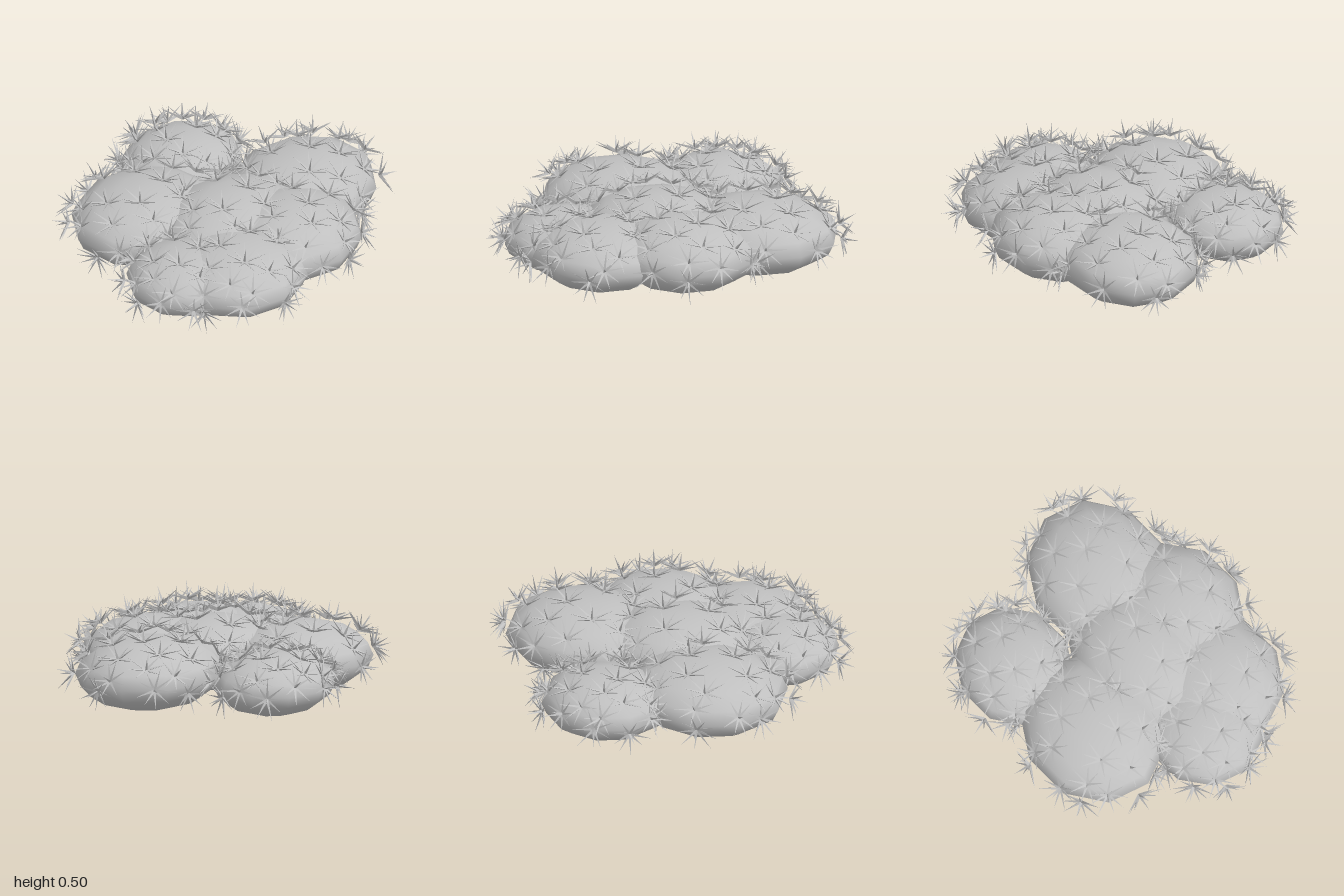
import * as THREE from 'three';
import { mergeGeometries } from 'three/addons/utils/BufferGeometryUtils.js';

const UP = new THREE.Vector3(0, 1, 0);

// Small seeded generator for natural variation
function makeRandom(seed) {
  let s = seed;
  return () => (s = (s * 16807) % 2147483647) / 2147483647;
}

// Pads: name, centre, radii
const PADS = [
  { name: 'backLeftPad', c: [-0.31, 0.2, -0.295], r: [0.44, 0.188, 0.39] },
  { name: 'backRightPad', c: [0.21, 0.19, -0.51], r: [0.355, 0.165, 0.318] },
  { name: 'rightPad', c: [0.46, 0.205, 0.14], r: [0.45, 0.19, 0.385] },
  { name: 'centrePad', c: [-0.07, 0.215, 0.11], r: [0.44, 0.193, 0.37] },
  { name: 'leftPad', c: [-0.58, 0.185, 0.24], r: [0.335, 0.155, 0.32] },
  { name: 'frontLeftPad', c: [-0.36, 0.19, 0.415], r: [0.395, 0.173, 0.382] },
  { name: 'frontRightPad', c: [0.085, 0.205, 0.405], r: [0.41, 0.19, 0.377] },
].map((p) => ({ name: p.name, c: new THREE.Vector3(...p.c), r: new THREE.Vector3(...p.r) }));

// One three-sided spine along +y, with a flat face that ends up on top when it leans
function spine(length) {
  const g = new THREE.ConeGeometry(0.0095, length, 3, 1, true, Math.PI / 2).toNonIndexed();
  g.computeVertexNormals();
  return g.translate(0, length / 2, 0);
}

// A star of leaning spines around one upright spine
function spineStar(random) {
  const parts = [spine(0.1)];
  const count = 9;
  for (let i = 0; i < count; i++) {
    const g = spine(0.105 + 0.03 * random());
    g.rotateZ(-(1.08 + 0.3 * random()));
    g.rotateY(((i + 0.35 * random()) / count) * Math.PI * 2);
    parts.push(g);
  }
  return mergeGeometries(parts);
}

const insidePad = (p, pad) => p.clone().sub(pad.c).divide(pad.r).lengthSq() < 0.93;

// Stars spread in a spiral over the upper half of a pad, left out where pads overlap
function padSpines(pad, random) {
  const stars = [];
  const count = 32;
  const spin = random() * 6.28;
  for (let i = 0; i < count; i++) {
    const y = 0.97 - (1.1 * i) / (count - 1);
    const ring = Math.sqrt(1 - y * y);
    const a = spin + i * 2.39996 + 0.3 * (random() - 0.5);
    const dir = new THREE.Vector3(ring * Math.cos(a), y, ring * Math.sin(a));
    const surface = dir.clone().multiply(pad.r).add(pad.c);
    if (PADS.some((other) => other !== pad && insidePad(surface, other))) continue;
    const normal = dir.clone().divide(pad.r).normalize();
    const base = surface.addScaledVector(normal, 0.015);
    const turn = new THREE.Quaternion().setFromUnitVectors(UP, normal);
    const matrix = new THREE.Matrix4().compose(base, turn, new THREE.Vector3(1, 1, 1));
    stars.push(spineStar(random).applyMatrix4(matrix));
  }
  return mergeGeometries(stars);
}

export function createModel() {
  const group = new THREE.Group();
  group.name = 'cactusCushion';
  const grey = new THREE.MeshStandardMaterial({ color: 0xc0c0c0 });
  grey.name = 'stoneGrey';
  const random = makeRandom(4711);

  for (const pad of PADS) {
    // Smooth, coarse ellipsoid body
    const body = new THREE.SphereGeometry(1, 10, 8, Math.PI / 2);
    body.scale(pad.r.x, pad.r.y, pad.r.z);
    body.translate(pad.c.x, pad.c.y, pad.c.z);
    const bodyMesh = new THREE.Mesh(body, grey);
    bodyMesh.name = pad.name;
    group.add(bodyMesh);

    // Spine stars of this pad
    const spines = new THREE.Mesh(padSpines(pad, random), grey);
    spines.name = pad.name + 'Spines';
    group.add(spines);
  }
  return group;
}
